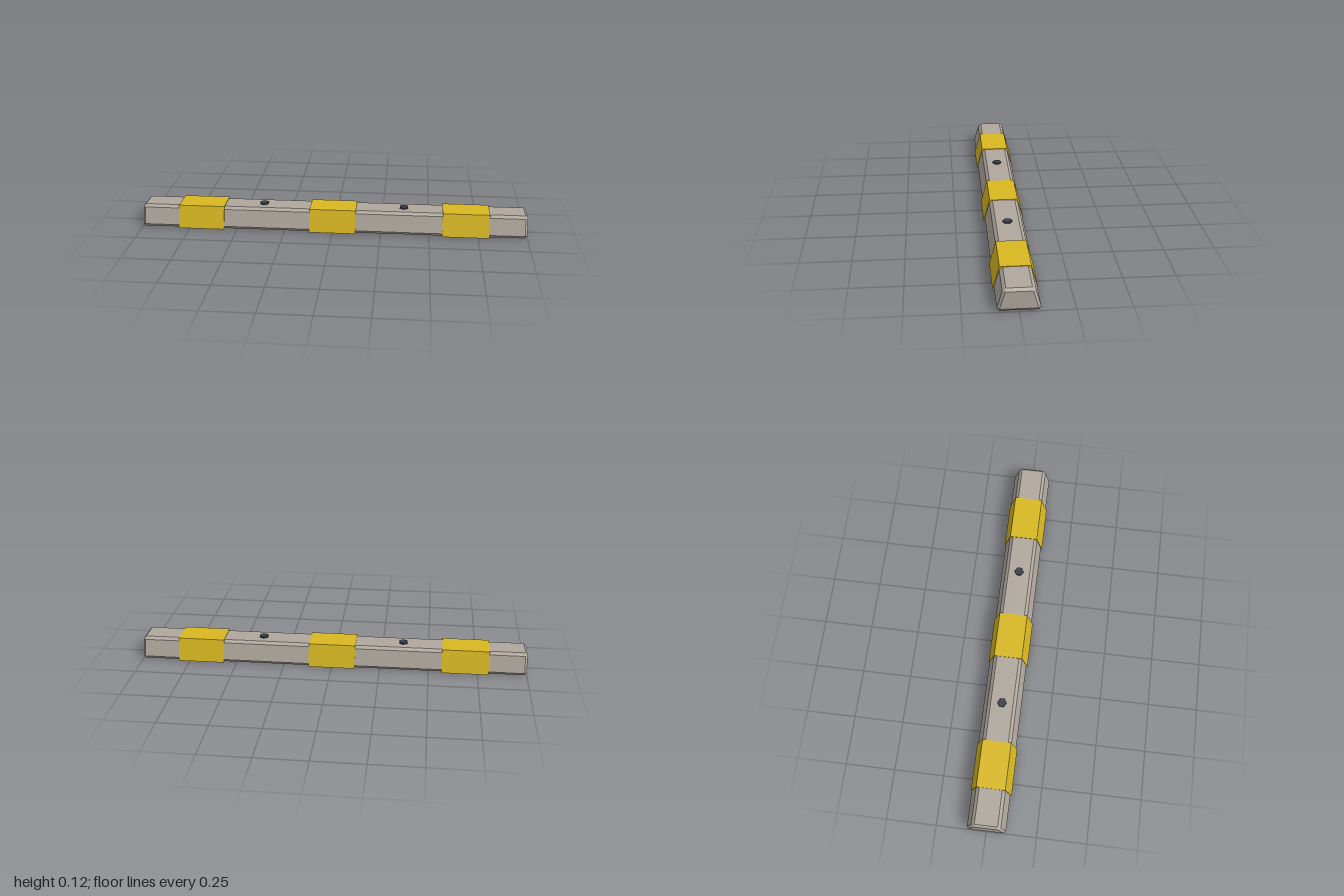
import * as THREE from 'three';
import { ConvexGeometry } from 'three/addons/geometries/ConvexGeometry.js';

const concrete = new THREE.MeshStandardMaterial({ color: 0xb0a89e });
concrete.name = 'concrete grey';
const yellow = new THREE.MeshStandardMaterial({ color: 0xd8b820 });
yellow.name = 'safety yellow';
const steel = new THREE.MeshStandardMaterial({ color: 0x3a3f47 });
steel.name = 'dark steel';

// Convex solid from [halfX, y, halfZ] corners mirrored in x and z
function mirroredSolid(corners) {
  const points = [];
  for (const [x, y, z] of corners)
    for (const sx of [-1, 1])
      for (const sz of [-1, 1]) points.push(new THREE.Vector3(sx * x, y, sz * z));
  return new ConvexGeometry(points);
}

function addPart(group, name, geometry, material, x = 0, y = 0) {
  const mesh = new THREE.Mesh(geometry, material);
  mesh.name = name;
  mesh.position.set(x, y, 0);
  group.add(mesh);
}

export function createModel() {
  const group = new THREE.Group();
  group.name = 'parkingStop';

  // Tapered beam with chamfered edges: bottom, side, end and top faces
  const body = mirroredSolid([
    [0.988, 0.001, 0.087],
    [0.988, 0.015, 0.097], [0.988, 0.1, 0.073],
    [1, 0.015, 0.086], [1, 0.1, 0.06],
    [0.988, 0.113, 0.057],
  ]);
  addPart(group, 'body', body, concrete);

  // Yellow bands wrapped around the beam
  const band = mirroredSolid([[0.12, 0, 0.103], [0.12, 0.116, 0.072]]);
  ['rightBand', 'middleBand', 'leftBand'].forEach((name, i) =>
    addPart(group, name, band, yellow, (i - 1) * 0.687));

  // Hexagonal anchor bolt heads
  const bolt = new THREE.CylinderGeometry(0.024, 0.024, 0.012, 6).toNonIndexed();
  bolt.computeVertexNormals();
  addPart(group, 'rightBolt', bolt, steel, -0.366, 0.115);
  addPart(group, 'leftBolt', bolt, steel, 0.366, 0.115);

  return group;
}
